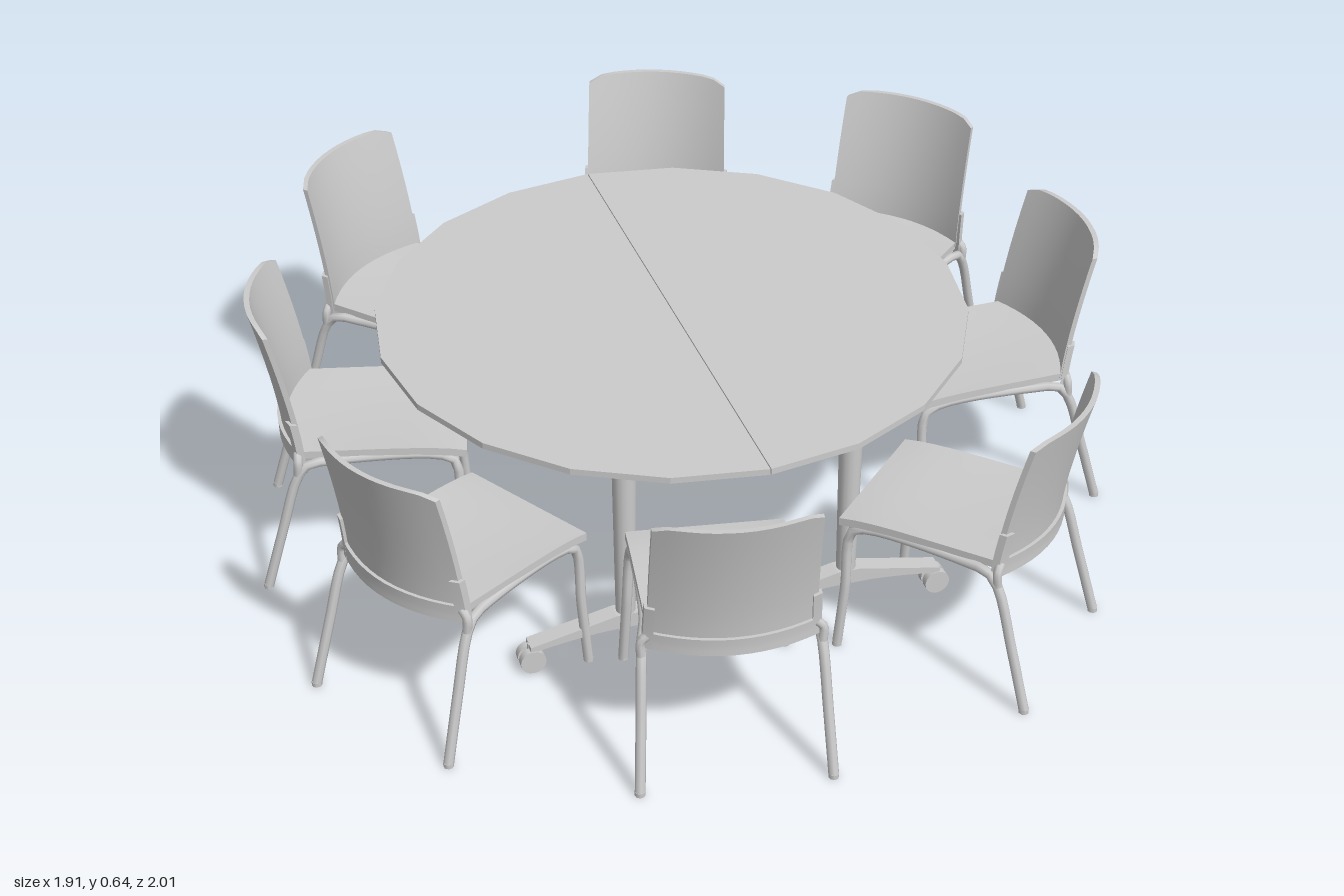
import * as THREE from 'three';

const grey = new THREE.MeshStandardMaterial({ color: 0xcccccc, side: THREE.DoubleSide });

function add(parent, name, geometry, x = 0, y = 0, z = 0) {
  const mesh = new THREE.Mesh(geometry, grey);
  mesh.name = name;
  mesh.position.set(x, y, z);
  parent.add(mesh);
  return mesh;
}

// Moves every vertex of a geometry by a rule and refreshes the normals
function deform(geometry, rule) {
  const p = geometry.attributes.position;
  const v = new THREE.Vector3();
  for (let i = 0; i < p.count; i++) {
    rule(v.fromBufferAttribute(p, i));
    p.setXYZ(i, v.x, v.y, v.z);
  }
  geometry.computeVertexNormals();
  return geometry;
}

function tube(points, radius, segments = 14) {
  const path = new THREE.CatmullRomCurve3(points.map(p => new THREE.Vector3(...p)), false, 'centripetal');
  return new THREE.TubeGeometry(path, segments, radius, 8);
}

// ---- Chair: local +z points out behind the backrest ----
const bow = x => -0.045 * (x / 0.17) ** 2;
const lean = y => 0.058 * Math.max(0, (y - 0.32) / 0.315) ** 1.4;

// Slab that follows the curved surface of the backrest
function backPanel(w, y0, y1, thick, x0 = 0, offset = 0, rounded = 0) {
  const g = new THREE.BoxGeometry(w, y1 - y0, thick, 12, 8, 1);
  return deform(g, v => {
    const u = Math.abs(v.x / (w / 2));
    v.x += x0;
    v.y += (y0 + y1) / 2;
    const t = (v.y - y0) / (y1 - y0);
    v.x *= 1 - 0.02 * t;
    v.y -= rounded * t ** 4 * u ** 10;
    v.z += -0.03 + bow(v.x) + lean(v.y) + offset;
  });
}

function createChair() {
  const chair = new THREE.Group();
  chair.name = 'chair';

  add(chair, 'backrest', backPanel(0.34, 0.325, 0.637, 0.012, 0, 0, 0.014));
  add(chair, 'backSupport', backPanel(0.352, 0.305, 0.345, 0.012, 0, 0.008));

  // Seat: rear edge bowed like the backrest, front edge turned down
  const seat = new THREE.BoxGeometry(0.335, 0.018, 1, 12, 1, 10);
  deform(seat, v => {
    const t = v.z + 0.5;
    const rear = -0.03 + bow(v.x);
    v.z = -0.43 + t * (rear + 0.43);
    v.y += 0.327 - 0.012 * (1 - t) ** 6 - 0.006 * Math.sin(Math.PI * t) * (1 - (v.x / 0.17) ** 2);
  });
  add(chair, 'seat', seat);

  for (const s of [-1, 1]) {
    add(chair, 'cornerBracket', backPanel(0.02, 0.305, 0.41, 0.016, s * 0.17, 0.006));
    // Side frame: back leg, rail under the seat and front leg in one bent tube
    add(chair, 'legFrame', tube([
      [s * 0.197, 0.005, 0.02], [s * 0.189, 0.15, -0.022], [s * 0.182, 0.28, -0.062],
      [s * 0.178, 0.308, -0.085], [s * 0.165, 0.31, -0.15], [s * 0.158, 0.31, -0.36],
      [s * 0.16, 0.295, -0.402], [s * 0.168, 0.15, -0.41], [s * 0.175, 0.005, -0.42],
    ], 0.011, 32));
    add(chair, 'bracketArm', tube([[s * 0.182, 0.285, -0.064], [s * 0.182, 0.32, -0.066], [s * 0.168, 0.335, -0.066]], 0.01, 6));
    for (const [x, z] of [[0.197, 0.02], [0.175, -0.42]]) {
      add(chair, 'legCap', new THREE.CylinderGeometry(0.011, 0.011, 0.01, 8), s * x, 0.005, z);
    }
  }
  for (const z of [-0.14, -0.36]) {
    const bar = add(chair, 'crossBar', new THREE.CylinderGeometry(0.008, 0.008, 0.32, 8), 0, 0.308, z);
    bar.rotation.z = Math.PI / 2;
  }
  return chair;
}

// ---- Table: two half-round tops, each on a beam with two castered legs ----
function createFoot() {
  const foot = new THREE.Group();
  foot.name = 'foot';

  // Shallow arch, tapering to both ends
  const s = new THREE.Shape();
  s.moveTo(-0.215, 0.052);
  s.quadraticCurveTo(-0.1, 0.072, -0.03, 0.072);
  s.lineTo(0.03, 0.072);
  s.quadraticCurveTo(0.1, 0.072, 0.215, 0.052);
  s.lineTo(0.215, 0.066);
  s.quadraticCurveTo(0.1, 0.09, 0.025, 0.106);
  s.lineTo(-0.025, 0.106);
  s.quadraticCurveTo(-0.1, 0.09, -0.215, 0.066);
  const arch = new THREE.ExtrudeGeometry(s, { depth: 0.04, bevelEnabled: false, curveSegments: 8 });
  add(foot, 'footArch', arch, 0, 0, -0.02);

  for (const x of [-0.21, 0.21]) {
    for (const z of [-0.013, 0.013]) {
      const wheel = add(foot, 'casterWheel', new THREE.CylinderGeometry(0.028, 0.028, 0.018, 16), x, 0.028, z);
      wheel.rotation.x = Math.PI / 2;
    }
    add(foot, 'casterStem', new THREE.CylinderGeometry(0.008, 0.008, 0.04, 8), x, 0.045, 0);
  }
  return foot;
}

function createTable() {
  const table = new THREE.Group();
  table.name = 'table';
  const front = 0.46, back = -0.43;

  for (const s of [-1, 1]) {
    // Half-round top
    const half = new THREE.Shape();
    for (let i = 0; i <= 10; i++) {
      const a = -Math.PI / 2 + i * Math.PI / 10;
      half[i ? 'lineTo' : 'moveTo'](s * (0.65 * Math.cos(a) + 0.001), 0.65 * Math.sin(a));
    }
    const top = new THREE.ExtrudeGeometry(half, { depth: 0.014, bevelEnabled: false });
    top.rotateX(-Math.PI / 2);
    add(table, 'tableTopHalf', top, -0.01, 0.531, 0.01);

    const x = s * 0.25 - 0.008;
    add(table, 'beam', new THREE.BoxGeometry(0.05, 0.036, front - back - 0.08), x, 0.504, (front + back) / 2);
    for (const z of [front, back]) {
      const inward = z > 0 ? -1 : 1;
      add(table, 'column', new THREE.CylinderGeometry(0.026, 0.021, 0.4, 16), x, 0.295, z);
      add(table, 'columnHead', new THREE.CylinderGeometry(0.033, 0.028, 0.04, 16), x, 0.497, z);
      // Sloping bracket from the column head to the beam
      const bracket = deform(new THREE.BoxGeometry(0.056, 0.05, 0.09), v => {
        if (v.y < 0 && v.z * inward > 0) v.y += 0.02;
      });
      add(table, 'headBracket', bracket, x, 0.493, z + inward * 0.04);
      add(table, 'topPlate', new THREE.BoxGeometry(0.1, 0.012, 0.1), x, 0.525, z + inward * 0.03);
      const foot = createFoot();
      foot.position.set(x, 0, z);
      table.add(foot);
    }
  }
  return table;
}

export function createModel() {
  const model = new THREE.Group();
  model.name = 'roundTableWithChairs';
  model.add(createTable());

  // Chair places: x, z and the outward direction
  const places = [
    [0.25, -0.91, 0.37, -0.93], [0.794, -0.579, 0.745, -0.667],
    [0.918, 0.05, 1, -0.02], [0.595, 0.767, 0.69, 0.72],
    [-0.172, 0.934, -0.17, 0.985], [-0.796, 0.537, -0.86, 0.51],
    [-0.878, -0.177, -0.97, -0.24], [-0.577, -0.751, -0.664, -0.747],
  ];
  for (const [x, z, dx, dz] of places) {
    const chair = createChair();
    chair.position.set(x, 0, z);
    chair.rotation.y = Math.atan2(dx, dz);
    model.add(chair);
  }
  return model;
}
